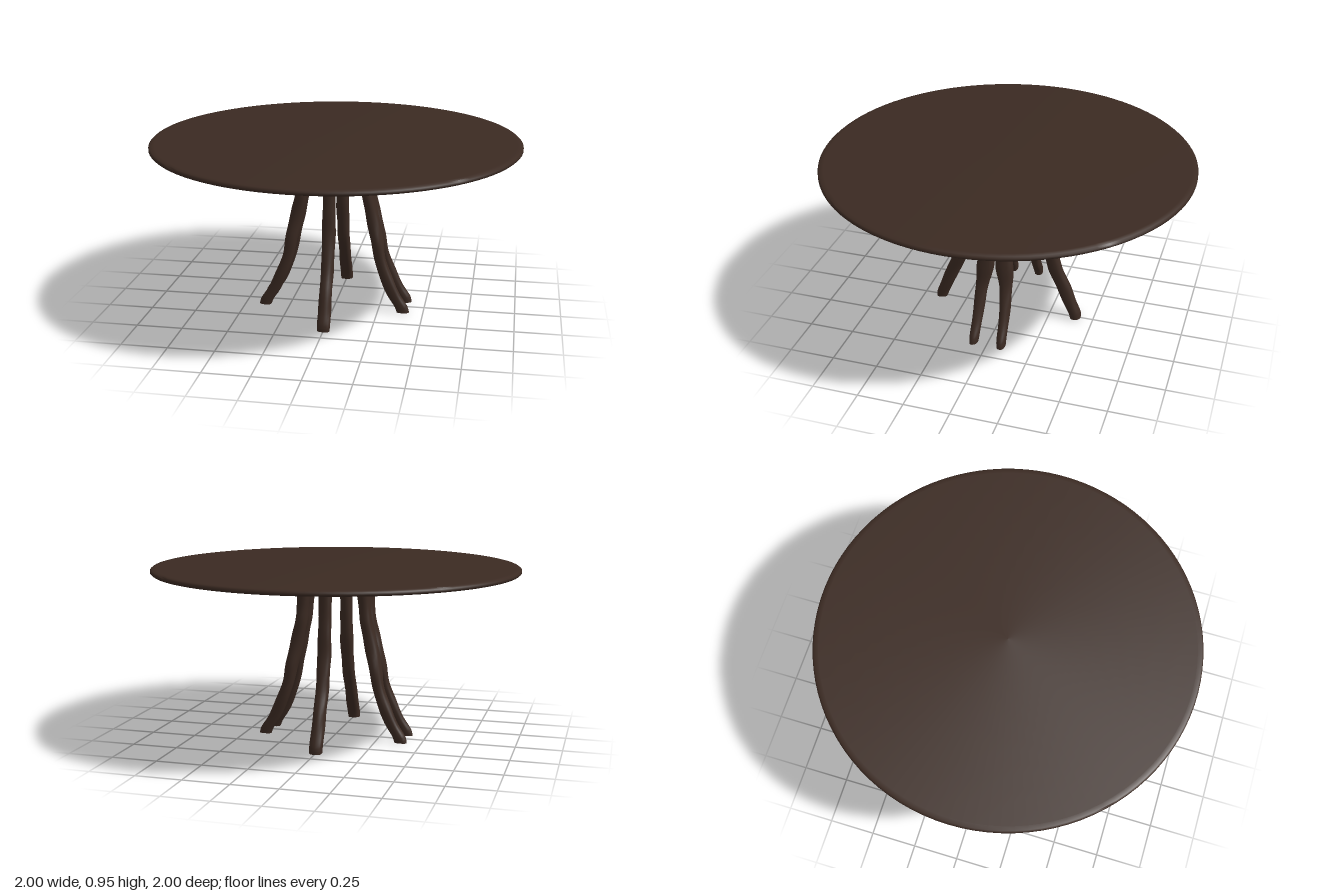
import * as THREE from 'three';
import { toCreasedNormals } from 'three/addons/utils/BufferGeometryUtils.js';

const wood = new THREE.MeshStandardMaterial({ color: 0x3b2a22 });

// Leg sections: [height, distance outwards, sideways offset, half depth, half width]
const PAIR_LEG = [
  [0, 0.388, 0.078, 0.034, 0.023], [0.03, 0.378, 0.077, 0.036, 0.025],
  [0.1, 0.335, 0.075, 0.036, 0.026], [0.2, 0.291, 0.072, 0.035, 0.030],
  [0.3, 0.257, 0.066, 0.031, 0.034], [0.4, 0.238, 0.054, 0.034, 0.048],
  [0.5, 0.216, 0.046, 0.036, 0.043], [0.57, 0.201, 0.047, 0.034, 0.040],
  [0.65, 0.184, 0.046, 0.031, 0.046], [0.72, 0.176, 0.046, 0.030, 0.045],
  [0.82, 0.168, 0.047, 0.035, 0.049], [0.92, 0.165, 0.047, 0.038, 0.050],
];
const SINGLE_LEG = [
  [0, 0.398, 0, 0.030, 0.034], [0.03, 0.392, 0, 0.034, 0.035],
  [0.1, 0.362, 0, 0.037, 0.035], [0.2, 0.322, 0, 0.041, 0.033],
  [0.3, 0.277, 0, 0.040, 0.034], [0.4, 0.250, 0, 0.037, 0.034],
  [0.5, 0.230, 0, 0.034, 0.037], [0.6, 0.222, 0, 0.035, 0.034],
  [0.7, 0.213, 0, 0.034, 0.033], [0.8, 0.206, 0, 0.036, 0.034],
  [0.86, 0.200, 0, 0.043, 0.036], [0.92, 0.195, 0, 0.050, 0.036],
];

// Lofts a gnarled branch through the sections, leaning towards +x
function legGeometry(rows, side, seed) {
  const spline = i => new THREE.CatmullRomCurve3(rows.map(r => new THREE.Vector3(r[i], r[0], r[i + 2])));
  const depth = spline(1), width = spline(2);
  const N = 16, M = 44, pos = [], idx = [];
  for (let j = 0; j <= M; j++) {
    const a = depth.getPoint(j / M), b = width.getPoint(j / M);
    for (let i = 0; i < N; i++) {
      const t = (i / N) * Math.PI * 2;
      const c = Math.cos(t), s = Math.sin(t);
      const knot = 1 + 0.05 * Math.sin(3 * t + a.y * 14 + seed) * Math.sin(a.y * 21 + seed * 2);
      // slightly squared oval
      const px = Math.sign(c) * Math.abs(c) ** 0.8 * a.z * knot;
      const pz = Math.sign(s) * Math.abs(s) ** 0.8 * b.z * knot;
      pos.push(a.x + px, a.y, b.x * side + pz);
    }
  }
  for (let j = 0; j < M; j++) for (let i = 0; i < N; i++) {
    const p = j * N + i, q = j * N + (i + 1) % N;
    idx.push(p, p + N, q, q, p + N, q + N);
  }
  // end caps
  for (let i = 1; i < N - 1; i++) {
    idx.push(0, i, i + 1);
    idx.push(M * N, M * N + i + 1, M * N + i);
  }
  const g = new THREE.BufferGeometry();
  g.setAttribute('position', new THREE.Float32BufferAttribute(pos, 3));
  g.setIndex(idx);
  return toCreasedNormals(g, 1.0);
}

// Rail under the top with curved shoulders running down into the legs
function railGeometry(reach, inner, thickness) {
  const s = new THREE.Shape();
  s.moveTo(-reach, 0.92);
  s.lineTo(-reach, 0.82);
  s.lineTo(-inner, 0.82);
  s.quadraticCurveTo(-inner, 0.86, -inner + 0.04, 0.86);
  s.lineTo(inner - 0.04, 0.86);
  s.quadraticCurveTo(inner, 0.86, inner, 0.82);
  s.lineTo(reach, 0.82);
  s.lineTo(reach, 0.92);
  s.closePath();
  const g = new THREE.ExtrudeGeometry(s, { depth: thickness, bevelEnabled: false, curveSegments: 8 });
  return g.translate(0, 0, -thickness / 2);
}

export function createModel() {
  const model = new THREE.Group();
  model.name = 'roundTable';
  const add = (name, geometry, turn = 0) => {
    const mesh = new THREE.Mesh(geometry, wood);
    mesh.name = name;
    mesh.rotation.y = turn;
    model.add(mesh);
  };

  // Thin round top, slightly thicker in the middle
  const profile = [
    [0, 0.905], [0.3, 0.906], [0.65, 0.912], [0.97, 0.922], [0.992, 0.924],
    [1, 0.931], [1, 0.942], [0.992, 0.949], [0.97, 0.951], [0, 0.951],
  ].map(p => new THREE.Vector2(...p));
  add('tableTop', toCreasedNormals(new THREE.LatheGeometry(profile, 96), 0.9));

  // Leg pairs on the left and right
  [['left', 0], ['right', Math.PI]].forEach(([name, turn], k) => {
    for (const side of [1, -1])
      add(name + (side > 0 ? 'PairLegA' : 'PairLegB'), legGeometry(PAIR_LEG, side, k * 2 + side), turn);
  });

  // Single legs at front and back
  add('frontLeg', legGeometry(SINGLE_LEG, 1, 4), -Math.PI / 2);
  add('backLeg', legGeometry(SINGLE_LEG, 1, 5.5), Math.PI / 2);

  // Crossing rails
  add('sideRail', railGeometry(0.165, 0.132, 0.07));
  add('frontBackRail', railGeometry(0.2, 0.168, 0.06), Math.PI / 2);
  return model;
}
